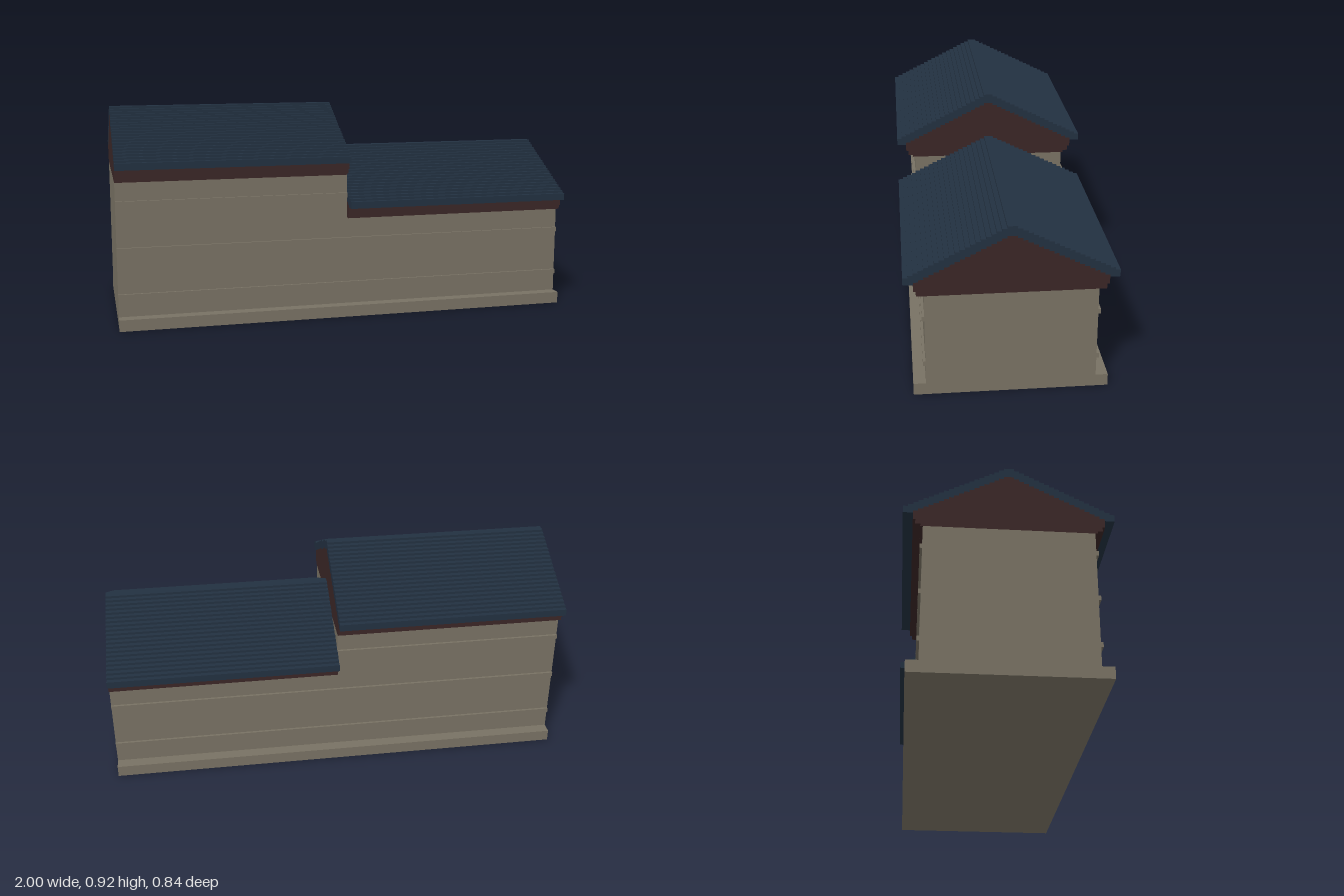
import * as THREE from 'three';

const mat = (name, color) => {
  const m = new THREE.MeshStandardMaterial({ color });
  m.name = name;
  return m;
};

const STEP_Z = 0.02, STEP_Y = 0.01, STEPS = 20; // stepped roof pitch
const LENGTH = 1; // each wing is one unit long

// Extrude a z/y half profile, mirrored across z = 0, along x from x0.
function prism(name, half, material, x0) {
  const mirrored = half.map(([z, y]) => [-z, y]).reverse();
  const shape = new THREE.Shape([...half, ...mirrored].map(([z, y]) => new THREE.Vector2(z, y)));
  const geo = new THREE.ExtrudeGeometry(shape, { depth: LENGTH, bevelEnabled: false });
  geo.rotateY(Math.PI / 2);
  geo.translate(x0, 0, 0);
  const mesh = new THREE.Mesh(geo, material);
  mesh.name = name;
  return mesh;
}

// Staircase line from the eave (step number last) up to the ridge height.
function staircase(ridge, last) {
  const pts = [];
  for (let k = last; k >= 0; k--) {
    const z = (k + 1) * STEP_Z, y = ridge - k * STEP_Y;
    if (k < last) pts.push([z, y - STEP_Y]);
    pts.push([z, y]);
  }
  return pts;
}

// One wing: banded walls, cornice, gable filling and stepped roof.
function wing(name, x0, eave, bands, lip, mats) {
  const g = new THREE.Group();
  g.name = name;
  const wallTop = eave - 0.05;

  // walls with a wide plinth and thin projecting bands
  const wall = [[0.39, 0], [0.39, 0.05], [0.34, 0.05]];
  for (const y of bands) wall.push([0.34, y], [0.35, y], [0.35, y + 0.02], [0.34, y + 0.02]);
  const neck = lip ? wallTop - 0.01 : wallTop;
  wall.push([0.34, neck]);
  g.add(prism('walls', wall, mats.wall, x0));

  // cornice in two projecting courses, with an optional thin lip below
  const cornice = lip ? [[0.35, neck], [0.35, wallTop]] : [];
  cornice.push([0.37, wallTop], [0.37, eave - 0.03], [0.38, eave - 0.03], [0.38, eave]);
  g.add(prism('cornice', cornice, mats.trim, x0));

  // gable filling under the roof slab
  const under = staircase(eave + 0.19, STEPS - 2);
  g.add(prism('gable', [[0.38, eave], ...under], mats.trim, x0));

  // roof slab: outer staircase, then back down the underside
  const outer = staircase(eave + 0.23, STEPS);
  const slab = (sign) => {
    const m = ([z, y]) => [z * sign, y];
    return { top: outer.map(m), bottom: [...under].reverse().map(m) };
  };
  const right = slab(1), left = slab(-1);
  const outline = [
    [0.38, eave], [0.42, eave], ...right.top,
    ...left.top.reverse(), [-0.42, eave], [-0.38, eave],
    ...left.bottom.reverse(), ...right.bottom,
  ].map(([z, y]) => new THREE.Vector2(z, y));
  // drop repeated corners
  const clean = outline.filter((p, i) => p.distanceTo(outline[(i + 1) % outline.length]) > 1e-6);
  const geo = new THREE.ExtrudeGeometry(new THREE.Shape(clean), { depth: LENGTH, bevelEnabled: false });
  geo.rotateY(Math.PI / 2);
  geo.translate(x0, 0, 0);
  const roof = new THREE.Mesh(geo, mats.roof);
  roof.name = 'roof';
  g.add(roof);
  return g;
}

export function createModel() {
  const mats = {
    wall: mat('stone wall', 0x787163),
    trim: mat('brown trim', 0x3a2626),
    roof: mat('slate blue roof', 0x223040),
  };
  const model = new THREE.Group();
  model.name = 'building';
  model.add(wing('tallWing', -1, 0.69, [0.13, 0.33, 0.53], true, mats));
  model.add(wing('lowWing', 0, 0.49, [0.13, 0.33], false, mats));
  return model;
}
